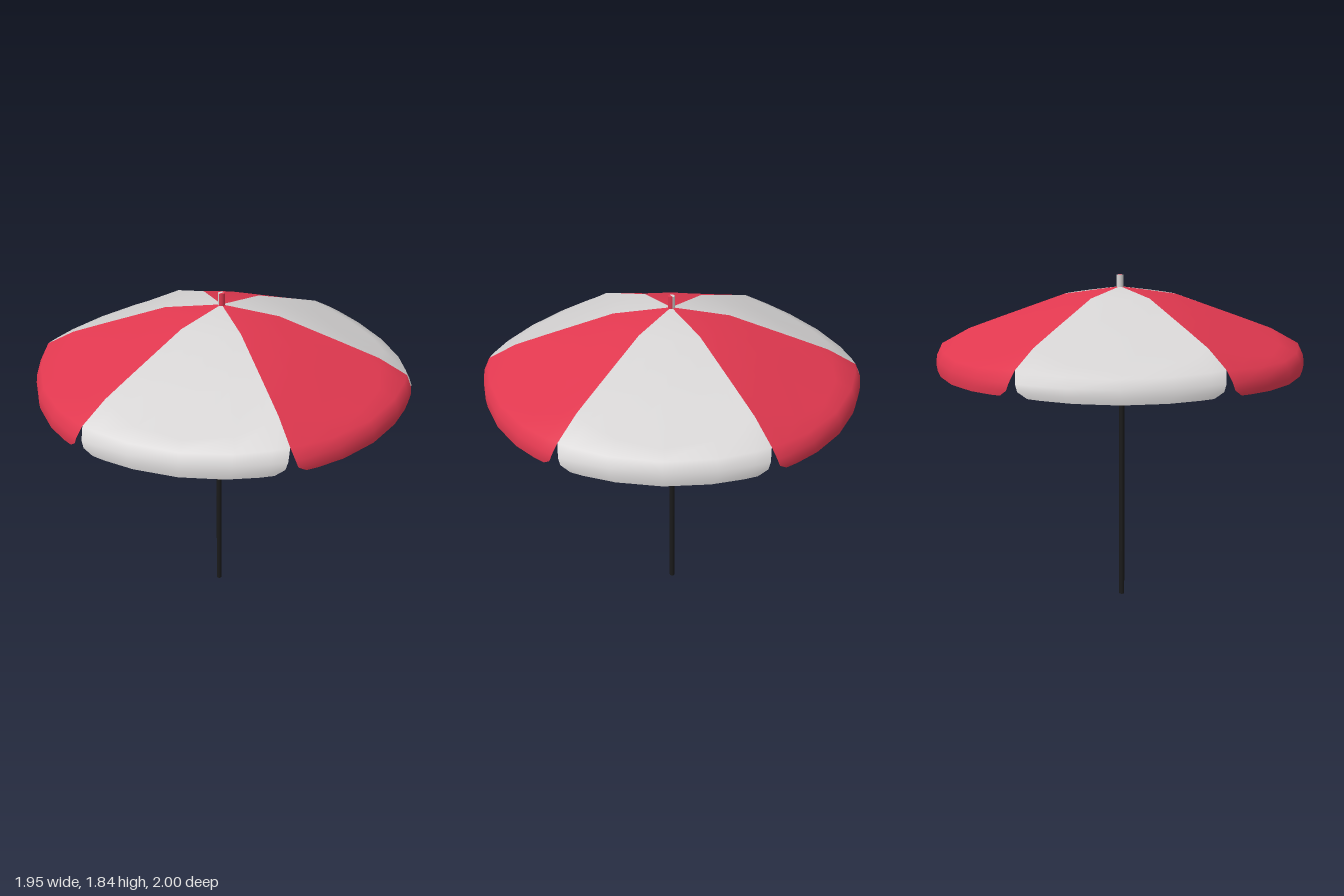
import * as THREE from 'three';

const red = new THREE.MeshStandardMaterial({ color: 0xe0384f, side: THREE.DoubleSide });
const white = new THREE.MeshStandardMaterial({ color: 0xd6d4d4, side: THREE.DoubleSide });
const black = new THREE.MeshStandardMaterial({ color: 0x1a1a1a });
red.name = 'red cloth';
white.name = 'white cloth';
black.name = 'black pole';

// Profiles [radius, height] from the peak to the flap hem: panel middle and rib
const MIDDLE = [[0, 1.775], [0.3, 1.73], [0.62, 1.59], [0.88, 1.47], [0.945, 1.445], [0.97, 1.4], [0.975, 1.36], [0.972, 1.332]];
const RIB = [[0, 1.775], [0.3, 1.735], [0.64, 1.615], [0.82, 1.55], [0.97, 1.468], [0.997, 1.41], [1.0, 1.375], [0.99, 1.345]];
// Share of the 60 degree sector covered by each row; the flap narrows to rounded corners
const WIDTH = [1, 1, 1, 1, 1, 0.965, 0.94, 0.85];
const ACROSS = [-1, -0.85, -0.5, 0, 0.5, 0.85, 1];
const OFFSET = THREE.MathUtils.degToRad(3.4);

// One cloth sector with its hanging flap
function panelGeometry(centre) {
  const positions = [], index = [], n = ACROSS.length;
  MIDDLE.forEach(([rm, ym], row) => {
    const [rr, yr] = RIB[row];
    for (const s of ACROSS) {
      const f = s * s;
      const r = rm + (rr - rm) * f;
      const a = centre + s * WIDTH[row] * Math.PI / 6;
      positions.push(r * Math.sin(a), ym + (yr - ym) * f, r * Math.cos(a));
    }
  });
  for (let i = 0; i < MIDDLE.length - 1; i++) {
    for (let j = 0; j < n - 1; j++) {
      const a = i * n + j, b = a + 1, c = a + n, d = c + 1;
      if (i > 0) index.push(a, c, b);
      index.push(b, c, d);
    }
  }
  const g = new THREE.BufferGeometry();
  g.setAttribute('position', new THREE.Float32BufferAttribute(positions, 3));
  g.setIndex(index);
  g.computeVertexNormals();
  return g;
}

export function createModel() {
  const model = new THREE.Group();
  model.name = 'parasol';

  // Six alternating canopy panels
  const canopy = new THREE.Group();
  canopy.name = 'canopy';
  for (let k = 0; k < 6; k++) {
    const panel = new THREE.Mesh(panelGeometry(OFFSET + (k + 0.5) * Math.PI / 3), k % 2 ? red : white);
    panel.name = k % 2 ? 'redPanel' : 'whitePanel';
    canopy.add(panel);
  }
  model.add(canopy);

  // Pole
  const pole = new THREE.Mesh(new THREE.CylinderGeometry(0.015, 0.015, 1.765, 12), black);
  pole.name = 'pole';
  pole.position.set(-0.01, 0.8825, 0.01);
  model.add(pole);

  // Two-tone finial
  [[red, 0], [white, Math.PI]].forEach(([material, start]) => {
    const half = new THREE.Mesh(new THREE.CylinderGeometry(0.018, 0.018, 0.08, 6, 1, false, start, Math.PI), material);
    half.name = 'finialHalf';
    half.position.y = 1.797;
    model.add(half);
  });

  return model;
}
